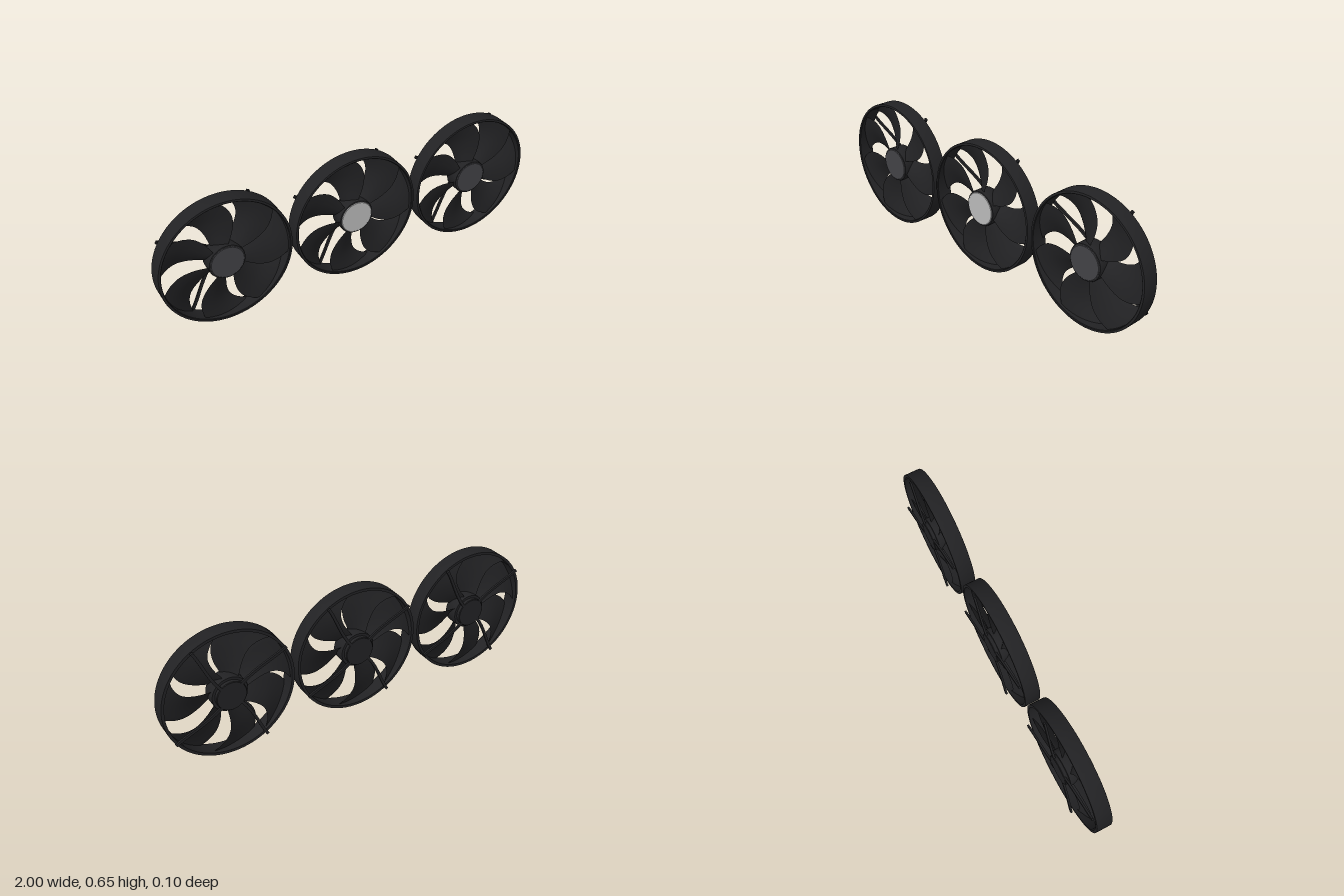
import * as THREE from 'three';
import { toCreasedNormals } from 'three/addons/utils/BufferGeometryUtils.js';

const CENTER_Y = 0.327, SPACING = 0.673, BLADES = 7, STRUTS = 4;
const rad = THREE.MathUtils.degToRad;
const black = new THREE.MeshStandardMaterial({ color: 0x222224 });
const capDark = new THREE.MeshStandardMaterial({ color: 0x424246 });
const capLight = new THREE.MeshStandardMaterial({ color: 0xbababa });

function part(name, geometry, material = black) {
  const mesh = new THREE.Mesh(geometry, material);
  mesh.name = name;
  return mesh;
}

// Turned part: [radius, z] profile listed from back to front, spun around z
function turned(profile, segments = 96) {
  const g = new THREE.LatheGeometry(profile.map(p => new THREE.Vector2(...p)), segments);
  g.rotateX(Math.PI / 2);
  return toCreasedNormals(g, rad(35));
}

// Swept blade: thin foil sections stacked outward from hub to ring.
// The centre line of the gap is given as (radius, degrees).
function bladeGeometry() {
  const gap = new THREE.SplineCurve([[0.08, 78], [0.14, 71.5], [0.21, 72], [0.265, 78], [0.318, 88]]
    .map(p => new THREE.Vector2(...p)));
  const rows = 20, cols = 14, ring = cols * 2, pos = [], index = [];
  for (let i = 0; i <= rows; i++) {
    const t = i / rows, p = gap.getPoint(t);
    const width = 5 + 5 * Math.sin(Math.PI * Math.min(1, t * 0.85));
    const start = p.y + width / 2, end = p.y + 360 / BLADES - width / 2;
    for (let j = 0; j < ring; j++) {
      const front = j < cols, u = front ? j / cols : 2 - j / cols;
      const a = rad(start + (end - start) * u);
      const half = 0.001 + 0.0025 * Math.sin(Math.PI * u);
      const z = 0.035 - 0.05 * u + 0.006 * Math.sin(Math.PI * u) + (front ? half : -half);
      pos.push(p.x * Math.cos(a), p.x * Math.sin(a), z);
      if (i < rows) {
        const k = i * ring + j, n = i * ring + (j + 1) % ring;
        index.push(k, k + ring, n, n, k + ring, n + ring);
      }
    }
  }
  const g = new THREE.BufferGeometry();
  g.setAttribute('position', new THREE.Float32BufferAttribute(pos, 3));
  g.setIndex(index);
  return toCreasedNormals(g, rad(50));
}

// Flat, slightly curved bar running from the motor to the edge of the ring
function strutGeometry() {
  const w = 0.007, left = [], right = [];
  for (let i = 0; i <= 12; i++) {
    const t = i / 12, r = 0.06 + 0.268 * t, a = rad(47 + 13 * Math.sin(t * Math.PI / 2));
    const x = r * Math.cos(a), y = r * Math.sin(a);
    left.push(new THREE.Vector2(x - w * Math.sin(a), y + w * Math.cos(a)));
    right.push(new THREE.Vector2(x + w * Math.sin(a), y - w * Math.cos(a)));
  }
  const g = new THREE.ExtrudeGeometry(new THREE.Shape([...right, ...left.reverse()]),
    { depth: 0.01, bevelEnabled: false });
  g.translate(0, 0, -0.048);
  return g;
}

const ringGeo = turned([
  [0.313, -0.03], [0.327, -0.03], [0.327, 0.046], [0.326, 0.049], [0.323, 0.05],
  [0.316, 0.05], [0.313, 0.047], [0.313, -0.03],
], 128);
const hubGeo = turned([
  [0, -0.028], [0.088, -0.028], [0.09, -0.025], [0.09, 0.04], [0.088, 0.045], [0.084, 0.047], [0, 0.047],
]);
const motorGeo = turned([
  [0, -0.048], [0.072, -0.048], [0.075, -0.045], [0.075, -0.02], [0, -0.02],
]);
const capGeo = turned([[0.082, 0.044], [0.082, 0.048], [0.08, 0.0495], [0, 0.0495]]);
const bladeGeo = bladeGeometry();
const strutGeo = strutGeometry();

function createFan(name, capMaterial) {
  const fan = new THREE.Group();
  fan.name = name;

  // Spinning part
  const rotor = new THREE.Group();
  rotor.name = 'rotor';
  rotor.add(part('outerRing', ringGeo), part('hub', hubGeo), part('hubCap', capGeo, capMaterial));
  for (let i = 0; i < BLADES; i++) {
    const blade = part('blade' + (i + 1), bladeGeo);
    blade.rotation.z = i * 2 * Math.PI / BLADES;
    rotor.add(blade);
  }

  // Fixed support behind the blades
  const support = new THREE.Group();
  support.name = 'rearSupport';
  support.add(part('motor', motorGeo));
  for (let i = 0; i < STRUTS; i++) {
    const strut = part('strut' + (i + 1), strutGeo);
    strut.rotation.z = i * 2 * Math.PI / STRUTS;
    support.add(strut);
  }
  fan.add(rotor, support);
  return fan;
}

export function createModel() {
  const model = new THREE.Group();
  model.name = 'tripleFan';
  [['rightFan', capDark], ['middleFan', capLight], ['leftFan', capDark]].forEach(([name, cap], i) => {
    const fan = createFan(name, cap);
    fan.position.set((i - 1) * SPACING, CENTER_Y, 0);
    model.add(fan);
  });
  return model;
}
